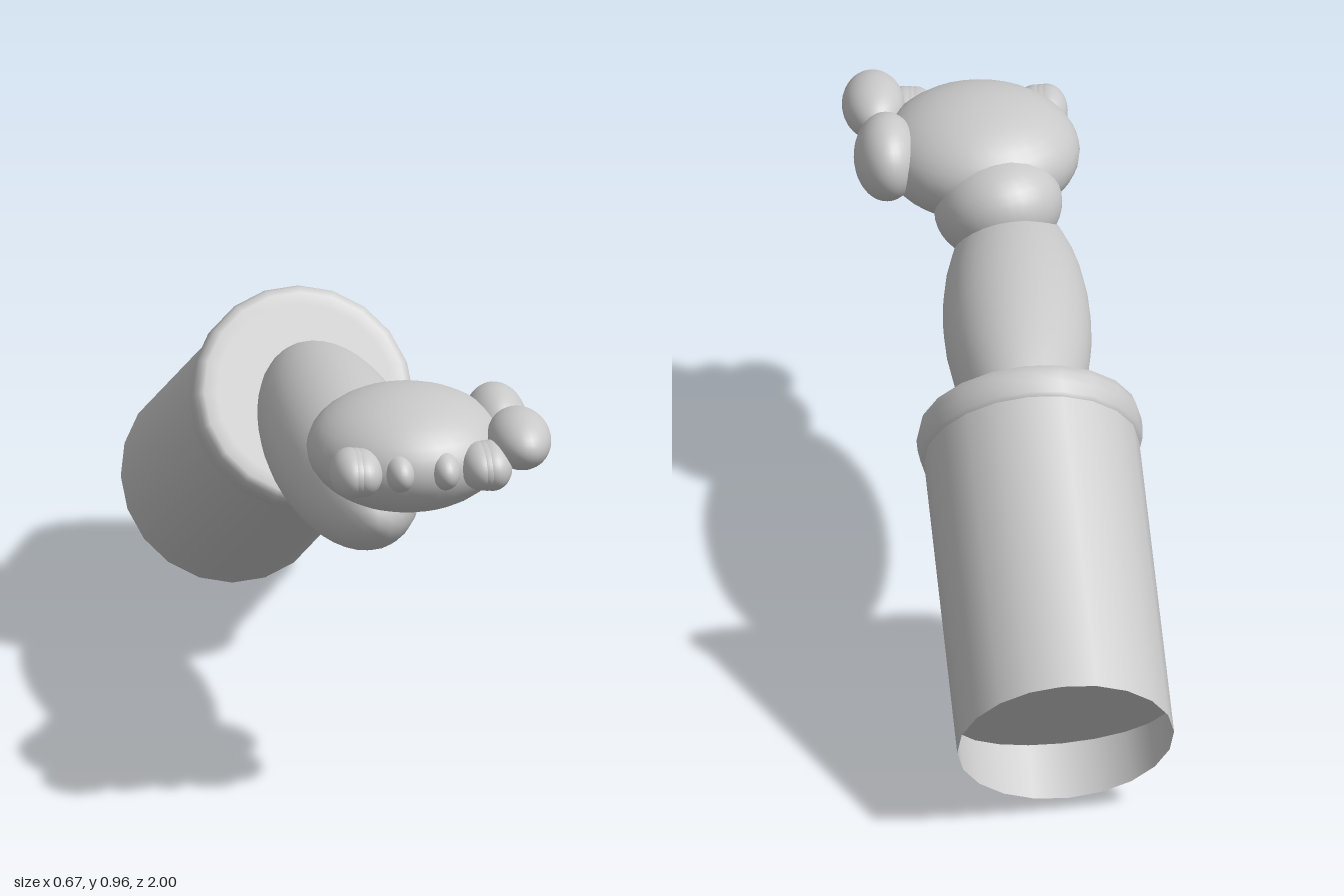
import * as THREE from 'three';

const grey = new THREE.MeshStandardMaterial({ color: 0xc8c8c8, side: THREE.DoubleSide });
grey.name = 'grey';

export function createModel() {
  const model = new THREE.Group();
  model.name = 'arm';

  const add = (name, geometry, parent = model) => {
    const mesh = new THREE.Mesh(geometry, grey);
    mesh.name = name;
    parent.add(mesh);
    return mesh;
  };
  // Ellipsoid from centre, radii and rotation
  const blob = (name, centre, radii, rotation = [0, 0, 0]) => {
    const mesh = add(name, new THREE.SphereGeometry(1, 32, 20));
    mesh.position.set(...centre);
    mesh.scale.set(...radii);
    mesh.rotation.set(...rotation);
    return mesh;
  };
  const lathe = (points) =>
    new THREE.LatheGeometry(points.map(([r, y]) => new THREE.Vector2(r, y)), 20);

  // Sleeve and cuff share one slanted axis
  const back = new THREE.Vector3(-0.1, 0.205, -0.875);
  const front = new THREE.Vector3(-0.04, 0.64, -0.17);
  const axis = front.clone().sub(back);
  const length = axis.length();
  const sleeveGroup = new THREE.Group();
  sleeveGroup.name = 'sleeveAndCuff';
  sleeveGroup.position.copy(back);
  sleeveGroup.quaternion.setFromUnitVectors(new THREE.Vector3(0, 1, 0), axis.normalize());
  model.add(sleeveGroup);

  // Open sleeve, closed inside by an end that slopes in towards the underside
  add('sleeve', lathe([[0.24, 0], [0.238, length - 0.04]]), sleeveGroup);
  const slope = 0.284;
  const sleeveEnd = add('sleeveEnd', new THREE.CircleGeometry(0.238, 20), sleeveGroup);
  sleeveEnd.position.y = 0.07;
  sleeveEnd.rotation.x = Math.PI / 2 - slope;
  sleeveEnd.scale.y = 1 / Math.cos(slope);
  add('cuff', lathe([
    [0.236, length - 0.085], [0.246, length - 0.075], [0.249, length - 0.05],
    [0.249, length - 0.025], [0.243, length - 0.006], [0.228, length],
    [0.2, length], [0, length],
  ]), sleeveGroup);

  // Forearm, wrist and palm
  blob('forearm', [-0.03, 0.66, 0.24], [0.163, 0.162, 0.53]);
  blob('wrist', [0, 0.775, 0.595], [0.142, 0.118, 0.148], [0.35, 0, -0.2]);
  blob('palm', [0.035, 0.832, 0.752], [0.22, 0.133, 0.225]);

  // Thumb
  blob('thumbBase', [0.243, 0.85, 0.695], [0.072, 0.094, 0.115]);
  blob('thumbTip', [0.266, 0.883, 0.88], [0.069, 0.064, 0.115]);

  // Curled fingers, mirrored about the middle of the palm
  const fingers = [[0.05, 0.037, 0.046], [0.132, 0.046, 0.052], [0.145, 0.046, 0.053], [0.157, 0.046, 0.054]];
  for (const side of [-1, 1]) {
    for (const [offset, width, height] of fingers) {
      blob('finger', [0.039 + side * offset, 0.839, 0.925], [width, height, 0.075]);
    }
  }

  return model;
}
